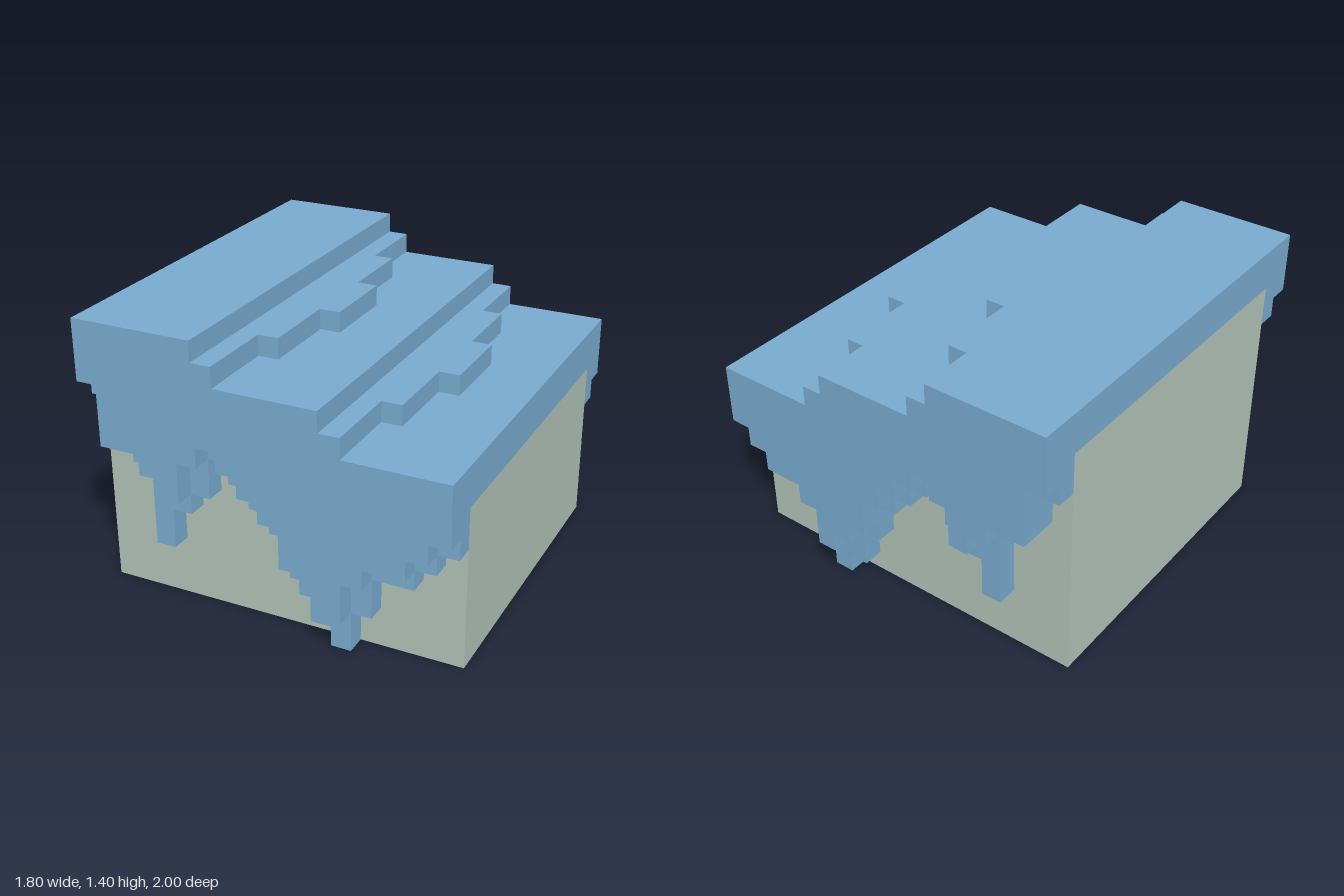
import * as THREE from 'three';

const blue = new THREE.MeshStandardMaterial({ color: 0x78aace });
blue.name = 'blue cover';
const grey = new THREE.MeshStandardMaterial({ color: 0xb0c1b6 });
grey.name = 'pale grey green';

// Stepped edge from x = -0.9 to 0.9 with one height per equal column
function steps(heights) {
  const w = 1.8 / heights.length;
  return heights.flatMap((h, i) => [[-0.9 + i * w, h], [-0.9 + (i + 1) * w, h]])
    .filter((p, i, all) => i === 0 || p[0] !== all[i - 1][0] || p[1] !== all[i - 1][1]);
}

function extrude(points, depth) {
  const shape = new THREE.Shape(points.map(([x, y]) => new THREE.Vector2(x, y)));
  return new THREE.ExtrudeGeometry(shape, { depth, bevelEnabled: false });
}

export function createModel() {
  const model = new THREE.Group();
  const add = (name, geometry, material) => {
    const mesh = new THREE.Mesh(geometry, material);
    mesh.name = name;
    model.add(mesh);
  };

  const top = steps([1.4, 1.2, 1.0]);
  const underside = steps([1.2, 1.0, 0.8]);

  // Block body with a terraced top under the cover
  add('body', extrude([[-0.9, 0], [0.9, 0], ...underside.slice().reverse()], 1.6).translate(0, 0, -0.8), grey);

  // Terraced cover over the body
  add('cover', extrude([...underside, ...top.slice().reverse()], 1.6).translate(0, 0, -0.8), blue);

  // Two layers of drips hanging over the front and the back
  const innerDrips = [1.0, 0.8, 0.7, 0.3, 0.5, 0.6, 0.8, 0.7, 0.6, 0.5, 0.3, 0.1, 0, 0.2, 0.4, 0.4, 0.5, 0.6];
  const outerDrips = [1.1, 0.8, 0.8, 0.7, 0.6, 0.8, 0.9, 0.8, 0.7, 0.6, 0.4, 0.3, 0.2, 0.4, 0.5, 0.5, 0.6, 0.7];
  [['inner', innerDrips, 0.8], ['outer', outerDrips, 0.9]].forEach(([layer, drips, z]) => {
    const outline = [...steps(drips), ...top.slice().reverse()];
    add(layer + 'DripsFront', extrude(outline, 0.1).translate(0, 0, z), blue);
    add(layer + 'DripsBack', extrude(outline, 0.1).translate(0, 0, -z - 0.1), blue);
  });

  // Half-height ledges bulging out in the middle of each terrace step
  const plan = [
    [0, -1], [0.1, -1], [0.1, -0.6], [0.2, -0.6], [0.2, -0.2], [0.3, -0.2],
    [0.3, 0.2], [0.2, 0.2], [0.2, 0.6], [0.1, 0.6], [0.1, 1], [0, 1],
  ];
  [['upperLedge', -0.3, 1.2], ['lowerLedge', 0.3, 1.0]].forEach(([name, x, y]) => {
    add(name, extrude(plan, 0.1).rotateX(-Math.PI / 2).translate(x, y, 0), blue);
  });

  return model;
}
